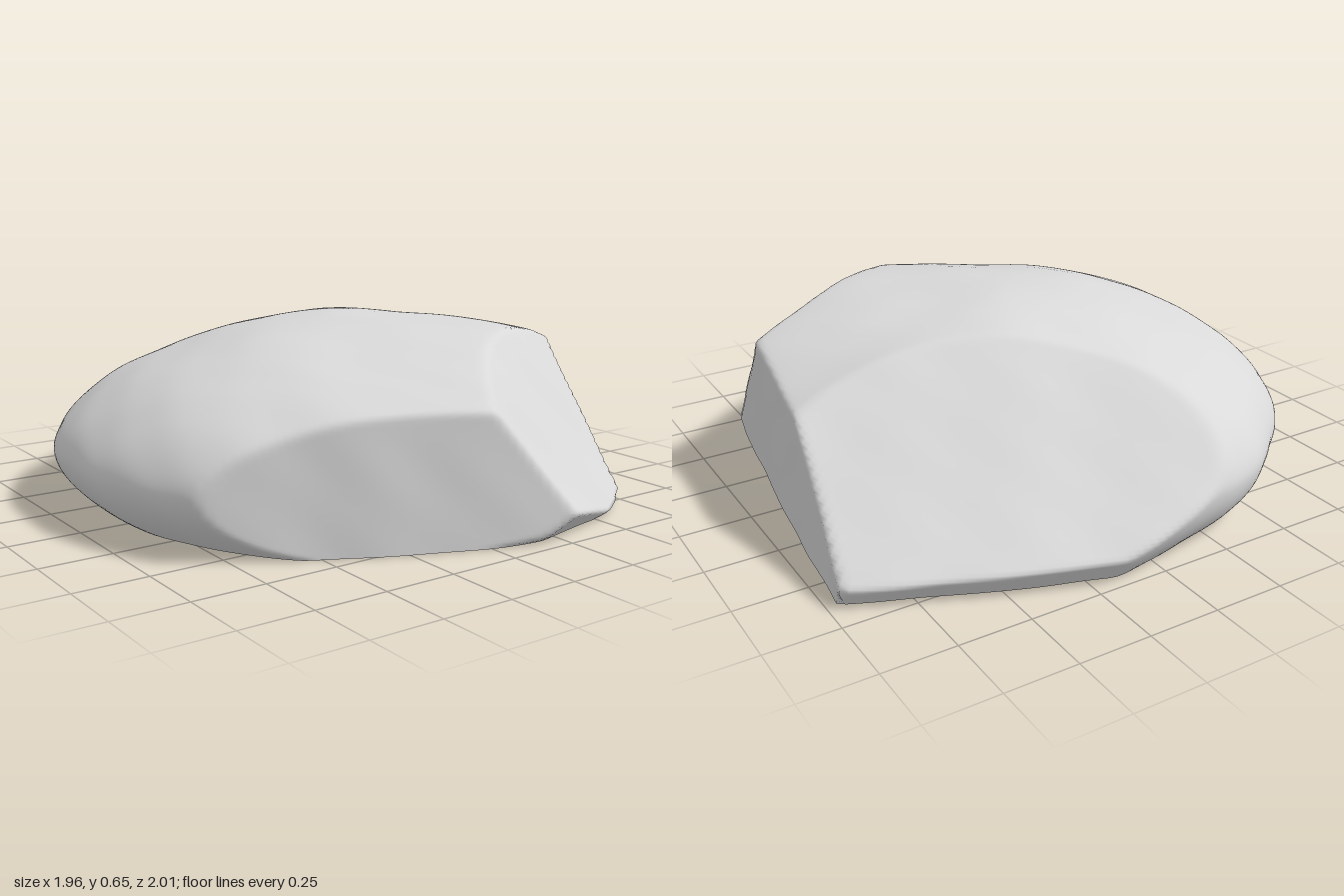
import * as THREE from 'three';

// Flat cuts through the boulder: outward normal and distance from the origin
const CUTS = [
  [0.449, 0.587, 0.674, 0.857],  // front-left slope
  [0.987, 0.019, 0.14, 0.871],   // upright left wall
  [-0.4, 0.04, 0.917, 0.82],     // steep front face
  [0.26, 0.765, -0.59, 0.71],    // long back slope
  [0.15, -0.7, 0.7, 0.685],      // undercut at the front tip
  [0.3, -0.55, -0.78, 0.79],     // undercut at the back
];

// Outline bulges: angle round the boulder, width and size
const BULGES = [
  [-1.9, 0.3, 0.02],  // back
  [-0.7, 0.55, 0.3],  // back left corner
  [0.5, 0.45, 0.22],  // front left shoulder
  [1.15, 0.35, 0.18], // front tip
];

const bump = (a, centre, width) => Math.exp(-(((a - centre) / width) ** 2));

// Gentle weathering of the surface
function weathering(x, y, z) {
  return 0.007 * Math.sin(5 * x + 2.1 * z + 1) * Math.cos(4.3 * z - 3 * y)
    + 0.004 * Math.sin(11 * x - 6 * z + 5 * y) * Math.sin(9 * z + 4 * x + 2)
    + 0.001 * Math.sin(23 * x + 13 * y) * Math.cos(21 * z - 9 * x + 12 * y);
}

// Negative inside the boulder: a lopsided dome trimmed by the cuts
function solid(x, y, z) {
  const a = Math.atan2(z, x);
  let reach = 0.99;
  for (const [centre, width, size] of BULGES) reach += size * bump(a, centre, width);
  const upper = y > 0.2;
  const belly = 0.36 + 0.2 * bump(a, -0.9, 1) + 0.06 * bump(a, 1.9, 0.5);
  const power = upper ? 1.7 + 0.6 * bump(a, 0.8, 0.9) : 2; // fuller at the front left
  const h = Math.abs(y - 0.2) / (upper ? 0.448 : belly);
  const r = Math.hypot(x, z) / reach;
  let d = ((r ** power + h ** power) ** (1 / power) - 1) * 0.6;
  for (const [nx, ny, nz, k] of CUTS) {
    const p = nx * x + ny * y + nz * z - k;
    const s = Math.max(0.01 - Math.abs(d - p), 0) / 0.01; // softly worn edge
    d = Math.max(d, p) + s * s * 0.0025;
  }
  return d + weathering(x, y, z);
}

// Distance along a ray from the origin to the surface
function castRay(dx, dy, dz) {
  let near = 0, far = 2.5;
  for (let i = 0; i < 26; i++) {
    const t = (near + far) / 2;
    if (solid(dx * t, dy * t, dz * t) < 0) near = t; else far = t;
  }
  return near;
}

function makeMesh(name, positions, index, material) {
  const g = new THREE.BufferGeometry();
  g.setAttribute('position', new THREE.Float32BufferAttribute(positions, 3));
  g.setIndex(index);
  g.computeVertexNormals();
  const mesh = new THREE.Mesh(g, material);
  mesh.name = name;
  return mesh;
}

export function createModel() {
  const group = new THREE.Group();
  group.name = 'boulder';
  const stone = new THREE.MeshStandardMaterial({ color: 0xd9d9d9 });
  stone.name = 'grey stone';

  // Rings from the crown down to the ground outline
  const rings = 90, cols = 240;
  const positions = [0, castRay(0, 1, 0), 0], index = [];
  for (let i = 1; i <= rings; i++) {
    const e = (1 - i / rings) * Math.PI / 2;
    for (let j = 0; j < cols; j++) {
      const a = (j / cols) * Math.PI * 2;
      const dir = [Math.cos(a) * Math.cos(e), 0.6 * Math.sin(e), Math.sin(a) * Math.cos(e)];
      const t = castRay(...dir);
      positions.push(...dir.map((v) => v * t));
    }
  }
  const at = (i, j) => 1 + (i - 1) * cols + (j % cols);
  for (let j = 0; j < cols; j++) {
    index.push(0, at(1, j + 1), at(1, j));
    for (let i = 1; i < rings; i++) {
      const a = at(i, j), b = at(i + 1, j), c = at(i, j + 1), d = at(i + 1, j + 1);
      index.push(a, c, b, c, d, b);
    }
  }
  group.add(makeMesh('weatheredBody', positions, index, stone));

  // Flat underside closing the last ring
  const basePositions = [0, 0, 0], baseIndex = [];
  for (let j = 0; j < cols; j++) {
    const k = at(rings, j) * 3;
    basePositions.push(positions[k], 0, positions[k + 2]);
    baseIndex.push(0, 1 + j, 1 + ((j + 1) % cols));
  }
  group.add(makeMesh('flatUnderside', basePositions, baseIndex, stone));
  return group;
}
